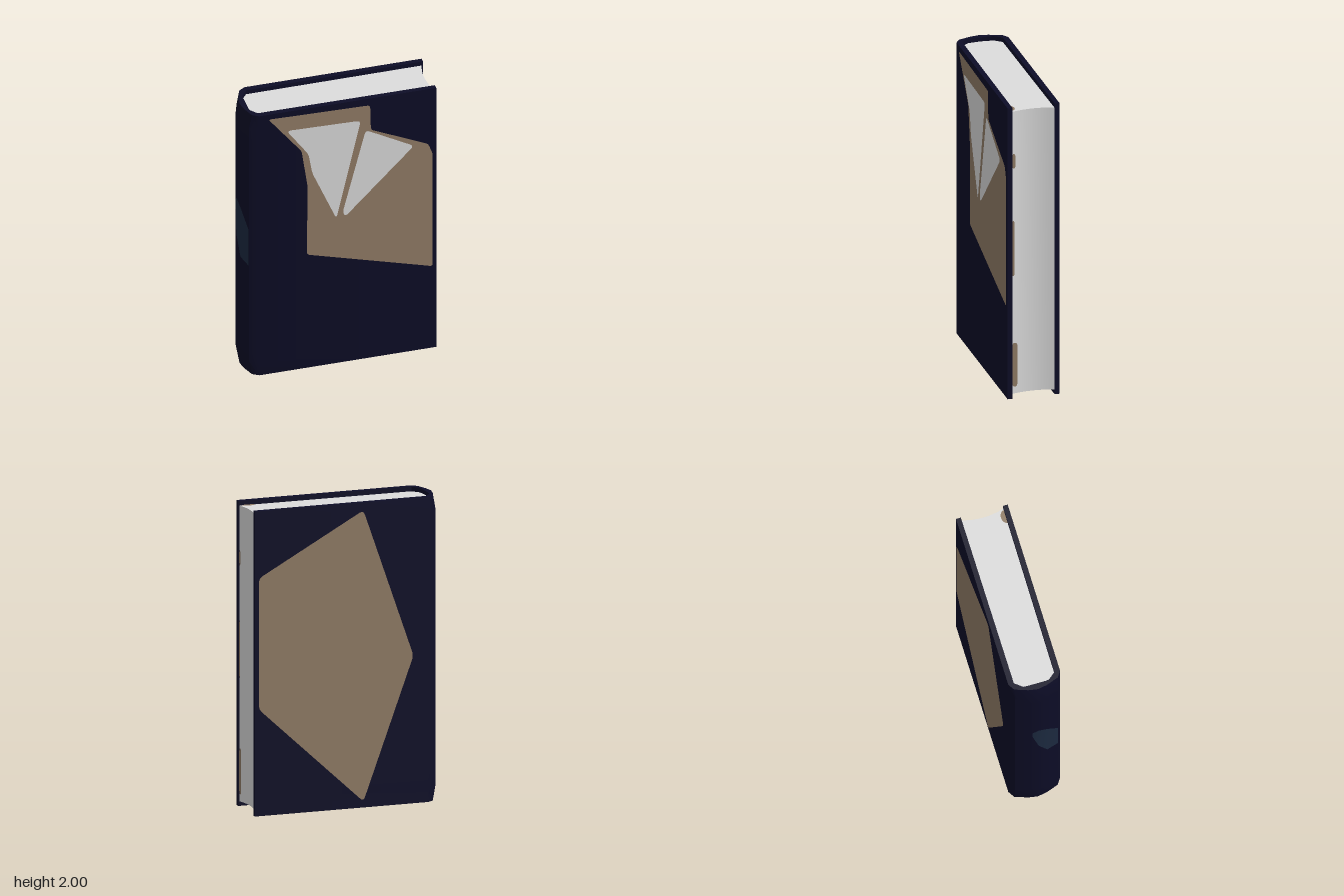
import * as THREE from 'three';
import { toCreasedNormals } from 'three/addons/utils/BufferGeometryUtils.js';

const mat = (name, color) => {
  const m = new THREE.MeshStandardMaterial({ color });
  m.name = name;
  return m;
};

// closed shape from [x, y] pairs
const shapeOf = (pts) => new THREE.Shape(pts.map(([x, y]) => new THREE.Vector2(x, y)));

// closed shape with slightly rounded corners
function softShape(pts, r = 0.02) {
  const v = pts.map(([x, y]) => new THREE.Vector2(x, y));
  const s = new THREE.Shape();
  v.forEach((p, i) => {
    const a = v[(i + v.length - 1) % v.length], b = v[(i + 1) % v.length];
    const near = (q) => p.clone().lerp(q, Math.min(0.45, r / p.distanceTo(q)));
    const s0 = near(a), s1 = near(b);
    if (i === 0) s.moveTo(s0.x, s0.y); else s.lineTo(s0.x, s0.y);
    s.quadraticCurveTo(p.x, p.y, s1.x, s1.y);
  });
  s.closePath();
  return s;
}

// extrude a plan outline upward from y0 to y1
function upright(pts, y0, y1, steps) {
  const g = new THREE.ExtrudeGeometry(shapeOf(pts), { depth: y1 - y0, steps, bevelEnabled: false });
  g.rotateX(-Math.PI / 2);
  g.translate(0, y0, 0);
  return g;
}

// complete a half outline by mirroring it across the book's middle plane
const mirrored = (half) => [...half, ...half.slice().reverse().filter(([, z]) => z !== 0).map(([x, z]) => [x, -z])];

export function createModel() {
  const book = new THREE.Group();
  book.name = 'book';
  const navy = mat('navy cover', 0x0d0d27);
  const tan = mat('tan print', 0x927d67);
  const paper = mat('paper', 0xdcdcdc);
  const blue = mat('blue mark', 0x1c2a40);

  const add = (name, geo, material) => {
    const mesh = new THREE.Mesh(geo, material);
    mesh.name = name;
    book.add(mesh);
    return mesh;
  };

  // cover: two boards joined by a rounded spine
  const outer = mirrored([[0.635, 0.172], [-0.54, 0.172], [-0.6, 0.145], [-0.63, 0.06], [-0.64, 0]]);
  const inner = mirrored([[0.635, 0.14], [-0.54, 0.135], [-0.58, 0.085], [-0.588, 0]]).reverse();
  const cover = upright([...outer, ...inner], 0, 2, 20);
  const p = cover.attributes.position;
  for (let i = 0; i < p.count; i++) {
    // spine draws in a little at head and foot
    const y = p.getY(i), x = p.getX(i);
    if (x < -0.595 && (y < 0.05 || y > 1.95)) p.setX(i, x + 0.018);
  }
  add('cover', toCreasedNormals(cover, 0.7), navy);

  // page block with a hollow fore edge
  const fore = [];
  for (let i = 0; i <= 8; i++) {
    const t = i / 4 - 1;
    fore.push([0.605 + 0.022 * t * t, 0.141 * t]);
  }
  const pages = upright([...fore, [-0.54, 0.136], [-0.582, 0.086], [-0.59, 0],
    [-0.582, -0.086], [-0.54, -0.136]], 0.03, 1.97, 1);
  add('pages', toCreasedNormals(pages, 0.6), paper);

  // front print
  const print = (name, pts, z, material, r) =>
    (add(name, new THREE.ShapeGeometry(softShape(pts, r), 4), material).position.z = z);
  print('frontPanel', [[-0.48, 1.965], [0.195, 1.95], [0.2, 1.76], [0.58, 1.58], [0.61, 1.5],
    [0.61, 0.63], [-0.225, 0.875], [-0.22, 1.4], [-0.26, 1.68]], 0.175, tan);
  print('frontLargeWedge', [[-0.36, 1.857], [0.132, 1.845], [-0.03, 1.12], [-0.19, 1.5],
    [-0.215, 1.65]], 0.178, paper, 0.03);
  print('frontSmallWedge', [[0.165, 1.765], [0.485, 1.585], [0.03, 1.125], [0.012, 1.16]], 0.178, paper, 0.03);

  // back print, mirrored in x because it faces -z
  const back = add('backPanel', new THREE.ShapeGeometry(softShape(
    [[-0.61, 1.56], [0.1, 1.95], [0.44, 0.97], [0.1, 0.04], [-0.61, 0.7]], 0.03), 4), tan);
  back.rotation.y = Math.PI;
  back.position.z = -0.175;

  // faded mark wrapped round the spine
  const mark = new THREE.PlaneGeometry(1, 1, 3, 1);
  const columns = [[-0.636, -0.04, 1.18, 1.24], [-0.643, 0, 1.0, 1.28],
    [-0.633, 0.06, 0.86, 1.24], [-0.604, 0.14, 0.84, 1.12]];
  columns.forEach(([x, z, low, high], i) => {
    mark.attributes.position.setXYZ(i, x, high, z);
    mark.attributes.position.setXYZ(i + 4, x, low, z);
  });
  mark.computeVertexNormals();
  add('spineMark', mark, blue);

  // tan smudges along the page edges
  for (const [low, high, w] of [[0.08, 0.38, 0.035], [0.84, 1.22, 0.015], [1.58, 1.68, 0.022]]) {
    const s = add('foreEdgeSmudge', new THREE.ShapeGeometry(softShape(
      [[-0.14, low], [-0.14 + w, low], [-0.14 + w, high], [-0.14, high]], 0.03)), tan);
    s.rotation.y = Math.PI / 2;
    s.position.x = 0.629;
  }
  const top = add('topSmudge', new THREE.CircleGeometry(1, 12, 0, Math.PI), tan);
  top.scale.set(0.045, 0.032, 1);
  top.rotation.x = -Math.PI / 2;
  top.position.set(0.57, 1.973, 0.14);

  return book;
}
